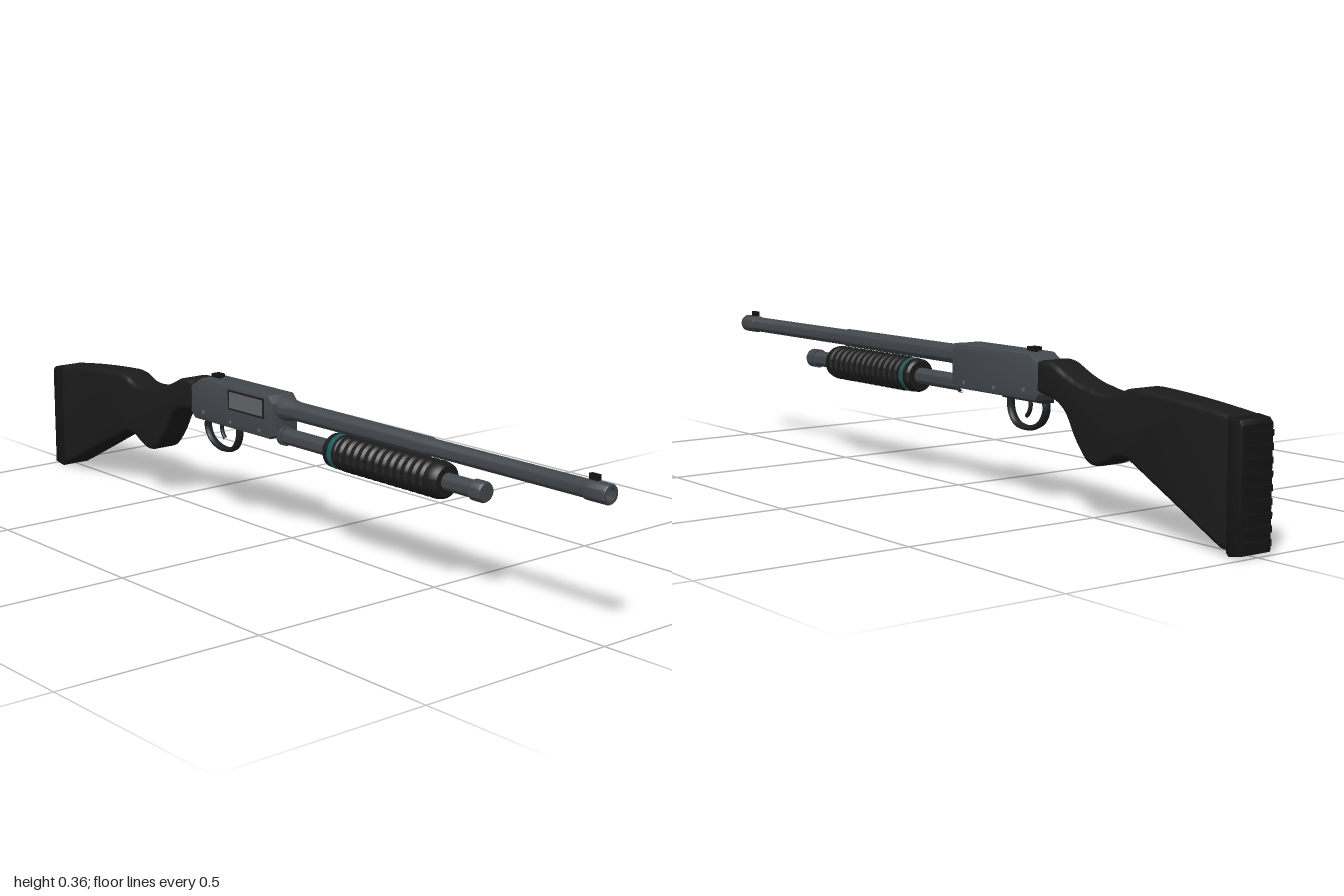
import * as THREE from 'three';
import { toCreasedNormals } from 'three/addons/utils/BufferGeometryUtils.js';

function material(name, color) {
  const m = new THREE.MeshStandardMaterial({ color });
  m.name = name;
  return m;
}

export function createModel() {
  const group = new THREE.Group();
  const steel = material('gunmetal', 0x43484d);
  const lightSteel = material('light steel', 0x606569);
  const polymer = material('black polymer', 0x1b1b1b);
  const rubber = material('black rubber', 0x141414);
  const darkMetal = material('dark metal', 0x1d1f21);
  const teal = material('teal', 0x1f5a5e);

  function add(name, geometry, mat, x = 0, y = 0, z = 0) {
    const mesh = new THREE.Mesh(geometry, mat);
    mesh.name = name;
    mesh.position.set(x, y, z);
    group.add(mesh);
    return mesh;
  }
  const box = (name, mat, w, h, d, x, y, z = 0) => add(name, new THREE.BoxGeometry(w, h, d), mat, x, y, z);

  // Side profile thickened across z with a bevelled rim
  function slab(name, shape, halfWidth, bevel, mat, segments = 2) {
    const g = new THREE.ExtrudeGeometry(shape, {
      depth: 2 * (halfWidth - bevel), bevelThickness: bevel, bevelSize: bevel,
      bevelOffset: -bevel, bevelSegments: segments, curveSegments: 8,
    });
    g.translate(0, 0, -(halfWidth - bevel));
    return add(name, toCreasedNormals(g, 0.6), mat);
  }
  const polygon = (pts) => new THREE.Shape(pts.map(([x, y]) => new THREE.Vector2(x, y)));

  // Turned part along x; profile is [x, radius] from rear to muzzle
  function turned(name, profile, y, mat, sides = 32) {
    const g = new THREE.LatheGeometry(profile.map(([x, r]) => new THREE.Vector2(r, x)), sides);
    g.rotateZ(-Math.PI / 2);
    return add(name, toCreasedNormals(g, 0.6), mat, 0, y, 0);
  }

  // Stock with pistol grip
  const stock = new THREE.Shape();
  stock.moveTo(-0.965, 0.008);
  stock.lineTo(-0.93, 0.012);
  stock.lineTo(-0.665, 0.147);
  stock.quadraticCurveTo(-0.63, 0.165, -0.6, 0.147);
  stock.quadraticCurveTo(-0.535, 0.105, -0.503, 0.145);
  stock.quadraticCurveTo(-0.475, 0.175, -0.46, 0.205);
  stock.quadraticCurveTo(-0.44, 0.245, -0.4, 0.257);
  stock.lineTo(-0.345, 0.268);
  stock.lineTo(-0.345, 0.336);
  stock.quadraticCurveTo(-0.375, 0.348, -0.41, 0.334);
  stock.quadraticCurveTo(-0.47, 0.302, -0.52, 0.295);
  stock.quadraticCurveTo(-0.59, 0.278, -0.625, 0.297);
  stock.quadraticCurveTo(-0.65, 0.311, -0.69, 0.31);
  stock.quadraticCurveTo(-0.82, 0.304, -0.965, 0.284);
  stock.closePath();
  slab('stock', stock, 0.041, 0.011, polymer, 3);

  // Recoil pad with ribs on the butt
  slab('recoilPad', polygon([[-0.994, 0.006], [-0.96, 0], [-0.953, 0.008], [-0.953, 0.284], [-0.985, 0.28], [-0.994, 0.27]]),
    0.045, 0.005, rubber);
  for (let i = 0; i < 9; i++) box('padRib', rubber, 0.012, 0.014, 0.078, -0.994, 0.026 + i * 0.028);

  // Receiver, ejection port and pins
  slab('receiver', polygon([[-0.355, 0.262], [-0.34, 0.245], [-0.04, 0.245], [-0.025, 0.255],
    [-0.025, 0.335], [-0.04, 0.352], [-0.315, 0.352], [-0.355, 0.328]]), 0.04, 0.007, steel);
  box('portFrame', darkMetal, 0.142, 0.05, 0.004, -0.127, 0.318, 0.0395);
  box('ejectionPort', lightSteel, 0.13, 0.04, 0.006, -0.127, 0.318, 0.0395);
  for (const [x, y] of [[-0.3, 0.268], [-0.19, 0.262], [-0.075, 0.262]]) {
    const pin = new THREE.CylinderGeometry(0.005, 0.005, 0.083, 12).rotateX(Math.PI / 2);
    add('receiverPin', pin, lightSteel, x, y);
  }

  // Barrel with hollow muzzle and rear collar
  turned('barrel', [[-0.04, 0.0235], [0.48, 0.0225], [0.49, 0.02], [0.938, 0.02], [0.942, 0.0225],
    [0.996, 0.0225], [1, 0.0205], [1, 0.0145], [0.95, 0.0145]], 0.32, steel);
  turned('bore', [[0.951, 0.0145], [0.952, 0]], 0.32, rubber);
  turned('barrelCollar', [[-0.03, 0.029], [-0.008, 0.029], [0, 0.0265], [0.035, 0.0225]], 0.32, steel);

  // Magazine tube and end cap
  turned('magazineTube', [[-0.03, 0.02], [0.625, 0.02]], 0.252, steel);
  turned('tubeCollar', [[-0.03, 0.024], [-0.016, 0.024], [-0.016, 0.019]], 0.252, steel);
  turned('tubeCap', [[0.622, 0.019], [0.622, 0.024], [0.65, 0.024], [0.655, 0.021], [0.655, 0]], 0.252, steel);

  // Ribbed sliding fore-end with coloured band
  const ribs = [[0.155, 0.02], [0.155, 0.036], [0.162, 0.041], [0.2, 0.041]];
  const pitch = 0.0245;
  for (let i = 0; i < 13; i++) {
    const x = 0.2 + i * pitch;
    ribs.push([x + 0.003, 0.0385], [x + 0.009, 0.0385], [x + 0.012, 0.0435], [x + 0.021, 0.0435]);
  }
  ribs.push([0.53, 0.04], [0.536, 0.035], [0.536, 0.02]);
  turned('foreEnd', ribs, 0.252, polymer);
  turned('foreEndBand', [[0.178, 0.04], [0.178, 0.0425], [0.192, 0.0425], [0.192, 0.04]], 0.252, teal);

  // Trigger guard bow, flattened from a tube
  const bow = new THREE.CatmullRomCurve3([[-0.328, 0.252], [-0.334, 0.222], [-0.318, 0.192], [-0.275, 0.174],
    [-0.228, 0.181], [-0.207, 0.208], [-0.204, 0.252]].map(([x, y]) => new THREE.Vector3(x, y, 0)));
  add('triggerGuard', new THREE.TubeGeometry(bow, 32, 0.0065, 8), darkMetal).scale.z = 1.8;
  box('guardPlate', darkMetal, 0.15, 0.01, 0.03, -0.267, 0.243);
  const blade = new THREE.QuadraticBezierCurve3(new THREE.Vector3(-0.272, 0.248, 0),
    new THREE.Vector3(-0.285, 0.218, 0), new THREE.Vector3(-0.262, 0.2, 0));
  add('trigger', new THREE.TubeGeometry(blade, 12, 0.005, 8), darkMetal);

  // Safety button and front sight
  box('rearSightBase', rubber, 0.018, 0.006, 0.01, -0.29, 0.354);
  box('rearSight', rubber, 0.026, 0.009, 0.023, -0.29, 0.359);
  box('frontSight', rubber, 0.024, 0.014, 0.01, 0.956, 0.348);

  return group;
}
